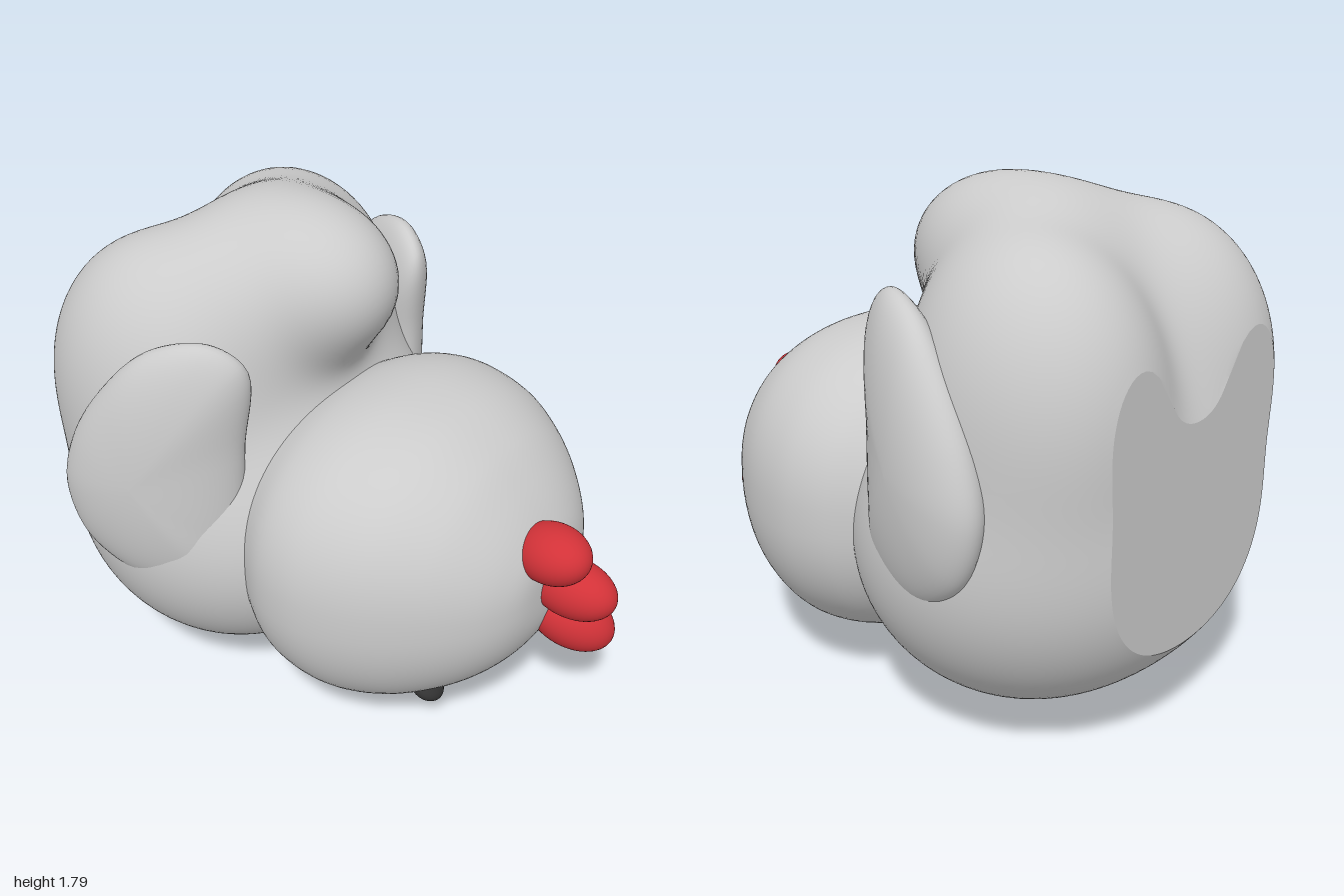
import * as THREE from 'three';

const V = (x, y, z) => new THREE.Vector3(x, y, z);
const grey = new THREE.MeshStandardMaterial({ color: 0xcccccc });
const red = new THREE.MeshStandardMaterial({ color: 0xd23238 });
const orange = new THREE.MeshStandardMaterial({ color: 0xe08a28 });
const dark = new THREE.MeshStandardMaterial({ color: 0x333333 });

// Surface of closed rings: fn(u, row) gives a point, u runs 0..1 around the ring
function rings(nu, rows, fn) {
  const pos = [], idx = [];
  for (let j = 0; j < rows; j++)
    for (let i = 0; i < nu; i++) pos.push(...fn(i / nu, j).toArray());
  for (let j = 0; j < rows - 1; j++)
    for (let i = 0; i < nu; i++) {
      const a = j * nu + i, b = j * nu + (i + 1) % nu;
      idx.push(a, b, a + nu, b, b + nu, a + nu);
    }
  const g = new THREE.BufferGeometry();
  g.setAttribute('position', new THREE.Float32BufferAttribute(pos, 3));
  g.setIndex(idx);
  g.computeVertexNormals();
  return g;
}

// Body: soft blend of ellipsoids [centre, radii], cut flat at z = -1
const blobs = [
  [V(0, 0.7, -0.52), V(0.65, 0.535, 0.565)],
  [V(0, 1.32, -0.46), V(0.45, 0.39, 0.27)],
  [V(0, 1.52, -0.22), V(0.24, 0.24, 0.29)],
];
for (const s of [1, -1])
  blobs.push(
    [V(s * 0.22, 0.62, -0.45), V(0.45, 0.46, 0.5)],
    [V(s * 0.34, 1.17, -0.63), V(0.34, 0.48, 0.385)],
  );
function inside(p) {
  let sum = 0;
  for (const [c, r] of blobs) {
    const d = p.clone().sub(c).divide(r);
    const n = d.length(), m = d.clone().divide(r).length() || 1;
    sum += Math.exp(-11 * n * (n - 1) / m);
  }
  return sum > 1;
}
// Distance from a point to the body surface along a direction
function reach(from, dir) {
  let lo = 0, hi = 1.5;
  for (let k = 0; k < 18; k++) {
    const mid = (lo + hi) / 2;
    if (inside(from.clone().addScaledVector(dir, mid))) lo = mid; else hi = mid;
  }
  return lo;
}
function bodyGeometry() {
  const nu = 160, nv = 110, core = V(0, 0.9, -0.5), base = V(0, 0.9, -1);
  const edge = [];
  for (let i = 0; i < nu; i++) {
    const a = i / nu * Math.PI * 2;
    edge.push(reach(base, V(Math.cos(a), Math.sin(a), 0)));
  }
  return rings(nu, nv + 2, (u, j) => {
    const a = u * Math.PI * 2, s = edge[Math.round(u * nu)];
    const out = V(Math.cos(a), Math.sin(a), 0);
    if (j === 0) return base.clone();
    // rows behind the cut gather on its rim
    const rim = Math.atan2(s, -0.5), t = Math.PI * (1 - (j - 1) / nv);
    if (t >= rim) return base.clone().addScaledVector(out, s);
    const dir = out.multiplyScalar(Math.sin(t)).add(V(0, 0, Math.cos(t)));
    const p = core.clone().addScaledVector(dir, reach(core, dir));
    p.z = Math.max(p.z, -1);
    return p;
  });
}

// Head: stations of z, half width, bottom and top, with a flat back
function headGeometry() {
  const st = [
    [-0.14, 0.54, 0.23, 1.13], [0, 0.63, 0.155, 1.2], [0.13, 0.655, 0.12, 1.23],
    [0.25, 0.64, 0.115, 1.23], [0.4, 0.585, 0.155, 1.2], [0.55, 0.485, 0.24, 1.115],
    [0.65, 0.39, 0.33, 1.015], [0.72, 0.295, 0.425, 0.92], [0.765, 0.185, 0.535, 0.83],
    [0.78, 0, 0.69, 0.69],
  ];
  const side = new THREE.CatmullRomCurve3(st.map(s => V(s[1], 0, s[0])));
  const span = new THREE.CatmullRomCurve3(st.map(s => V(s[2], s[3], s[0])));
  const nv = 56, bend = v => Math.sign(v) * Math.pow(Math.abs(v), 0.88);
  return rings(96, nv + 3, (u, j) => {
    if (j === 0) return V(0, 0.68, -0.14);
    const t = Math.max(0, j - 2) / nv, a = u * Math.PI * 2;
    const w = side.getPoint(t), h = span.getPoint(t);
    return V(w.x * bend(Math.cos(a)), (h.x + h.y) / 2 + (h.y - h.x) / 2 * bend(Math.sin(a)), w.z);
  });
}

// Wing: rounded pad on a closed outline of (z, y), curving outward to the rear
const wingOutline = new THREE.CatmullRomCurve3([
  [-0.23, 1.5], [-0.125, 1.42], [-0.14, 1.12], [-0.155, 0.8], [-0.19, 0.6], [-0.32, 0.55],
  [-0.5, 0.58], [-0.66, 0.7], [-0.725, 0.9], [-0.68, 1.1], [-0.56, 1.3], [-0.4, 1.46],
].map(([z, y]) => V(0, y, z)), true, 'centripetal');
function wingGeometry(side) {
  const nv = 32, c = V(0, 1.0, -0.4);
  return rings(80, nv + 1, (u, j) => {
    const t = Math.PI * (1 - j / nv);
    const p = wingOutline.getPoint((side * u + 1) % 1).sub(c).multiplyScalar(Math.sin(t)).add(c);
    const s = -p.z - 0.15;
    const mid = 0.51 + 0.55 * s - 0.33 * s * s + 0.02 * (1 - p.y);
    // outline direction and x are mirrored together
    p.x = side * (mid + 0.14 * Math.cos(t));
    return p;
  });
}

export function createModel() {
  const model = new THREE.Group();
  const add = (name, geometry, material) => {
    const m = new THREE.Mesh(geometry, material);
    m.name = name;
    model.add(m);
    return m;
  };
  const ball = new THREE.SphereGeometry(1, 40, 28);
  const egg = (name, material, centre, radii, rot = [0, 0, 0]) => {
    const m = add(name, ball, material);
    m.position.set(...centre);
    m.scale.set(...radii);
    m.rotation.set(...rot);
  };

  add('bodyWithTail', bodyGeometry(), grey);
  add('head', headGeometry(), grey);
  add('leftWing', wingGeometry(1), grey);
  add('rightWing', wingGeometry(-1), grey);

  // Comb lobes
  egg('combTop', red, [-0.065, 0.855, 0.79], [0.11, 0.1, 0.145], [-0.2, -0.25, 0]);
  egg('combMiddle', red, [0.005, 0.69, 0.84], [0.103, 0.103, 0.16]);
  egg('combBottom', red, [0.072, 0.505, 0.81], [0.108, 0.108, 0.165], [0.45, 0.3, 0]);

  // Beak halves
  egg('upperBeak', orange, [0, 0.15, 0.32], [0.145, 0.15, 0.055], [0.1, 0, 0]);
  egg('lowerBeak', orange, [0, 0.145, 0.24], [0.115, 0.125, 0.042], [-0.12, 0, 0]);

  // Eyes
  for (const s of [1, -1])
    egg(s > 0 ? 'leftEye' : 'rightEye', dark, [s * 0.2, 0.165, 0.41], [0.07, 0.04, 0.068], [0.5, 0, s * 0.25]);
  return model;
}
